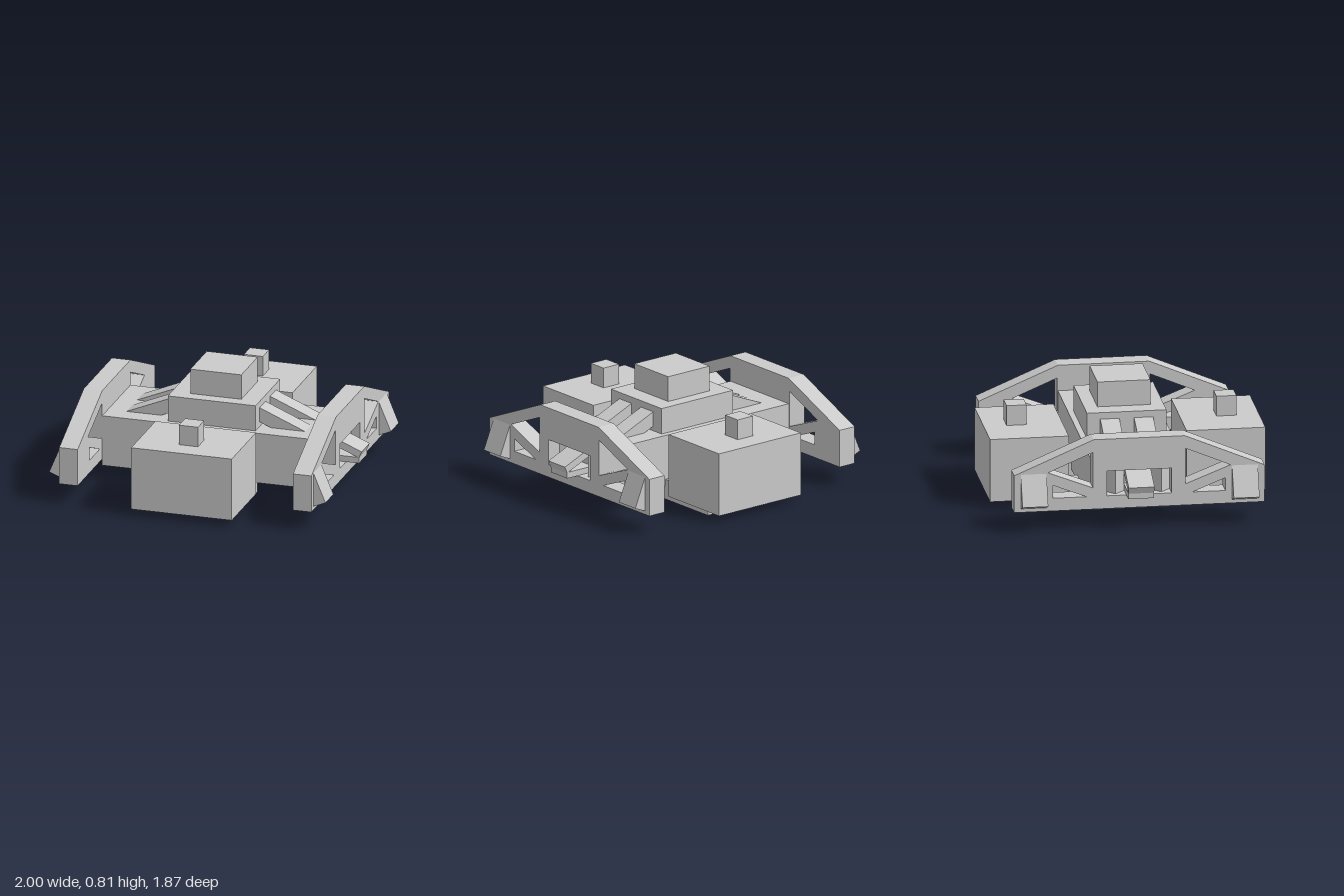
import * as THREE from 'three';

const material = new THREE.MeshStandardMaterial({ color: 0xcccccc, flatShading: true });

export function createModel() {
  const model = new THREE.Group();

  const add = (name, geometry) => {
    const mesh = new THREE.Mesh(geometry, material);
    mesh.name = name;
    model.add(mesh);
    return mesh;
  };

  // Box given by its lower and upper limits on each axis
  const box = (name, x0, x1, y0, y1, z0, z1) => {
    const mesh = add(name, new THREE.BoxGeometry(x1 - x0, y1 - y0, z1 - z0));
    mesh.position.set((x0 + x1) / 2, (y0 + y1) / 2, (z0 + z1) / 2);
    return mesh;
  };

  const points = (list) => list.map(([a, b]) => new THREE.Vector2(a, b));
  const extrude = (shape, depth) =>
    new THREE.ExtrudeGeometry(shape, { depth, bevelEnabled: false });

  // Central hull, upper deck and turret
  box('hull', -0.76, 0.76, 0.095, 0.45, -0.31, 0.31);
  box('upperDeck', -0.31, 0.31, 0.45, 0.63, -0.27, 0.27);
  box('turret', -0.18, 0.18, 0.63, 0.805, -0.18, 0.18);

  // Front and rear pods with a hatch on top and skids below
  for (const f of [1, -1]) {
    const pod = (name, x0, x1, y0, y1, z0, z1) =>
      box(name, x0, x1, y0, y1, Math.min(f * z0, f * z1), Math.max(f * z0, f * z1));
    pod('pod', -0.355, 0.355, 0.05, 0.49, 0.4, 0.935);
    pod('podHatch', -0.067, 0.067, 0.49, 0.63, 0.645, 0.78);
    for (const s of [1, -1]) {
      const c = s * 0.22;
      pod('skid', c - 0.09, c + 0.09, 0, 0.14, 0.225, 0.76);
    }
  }

  // Side frame profile as (z, y), with a window and two braced openings per side
  const frame = new THREE.Shape(points([
    [-0.85, 0.14], [0.85, 0.14], [0.85, 0.4], [0.31, 0.63], [-0.31, 0.63], [-0.85, 0.4],
  ]));
  const hole = (list) => frame.holes.push(new THREE.Path(points(list)));
  hole([[-0.22, 0.23], [0.22, 0.23], [0.22, 0.405], [-0.22, 0.405]]);
  for (const f of [1, -1]) {
    hole([[f * 0.315, 0.54], [f * 0.62, 0.41], [f * 0.315, 0.29]]);
    hole([[f * 0.585, 0.32], [f * 0.585, 0.23], [f * 0.36, 0.23]]);
  }

  for (const s of [1, -1]) {
    const side = add('sideFrame', extrude(frame, 0.13).rotateY(-Math.PI / 2));
    side.position.x = s > 0 ? 0.89 : -0.76;

    // Tilted feet at the outer ends of the frame
    const foot = new THREE.Shape(points([
      [s * 0.88, 0.41], [s * 0.89, 0.405], [s * 0.975, 0.2], [s * 0.89, 0.165], [s * 0.88, 0.165],
    ]));
    for (const z of [0.63, -0.805]) add('foot', extrude(foot, 0.175)).position.z = z;

    // Sloping block over a flat ledge, sticking out of the window
    const slope = add('windowSlope', new THREE.BoxGeometry(0.25, 0.05, 0.175));
    slope.position.set(s * 0.875, 0.338, 0);
    slope.rotation.z = -s * 0.393;
    const ledge = add('windowLedge', new THREE.BoxGeometry(0.22, 0.042, 0.175));
    ledge.position.set(s * 0.87, 0.25, 0);

    for (const f of [1, -1]) {
      // Corner-on posts at both ends of the window
      const post = add('windowPost', new THREE.BoxGeometry(0.092, 0.18, 0.092));
      post.position.set(s * 0.79, 0.317, f * 0.155);
      post.rotation.y = Math.PI / 4;

      // Struts sloping from the upper deck down to the hull
      const strut = new THREE.Shape(points([
        [s * 0.28, 0.597], [s * 0.63, 0.45], [s * 0.63, 0.44], [s * 0.41, 0.44], [s * 0.28, 0.495],
      ]));
      add('strut', extrude(strut, 0.13)).position.z = f * 0.115 - 0.065;
    }
  }

  return model;
}
